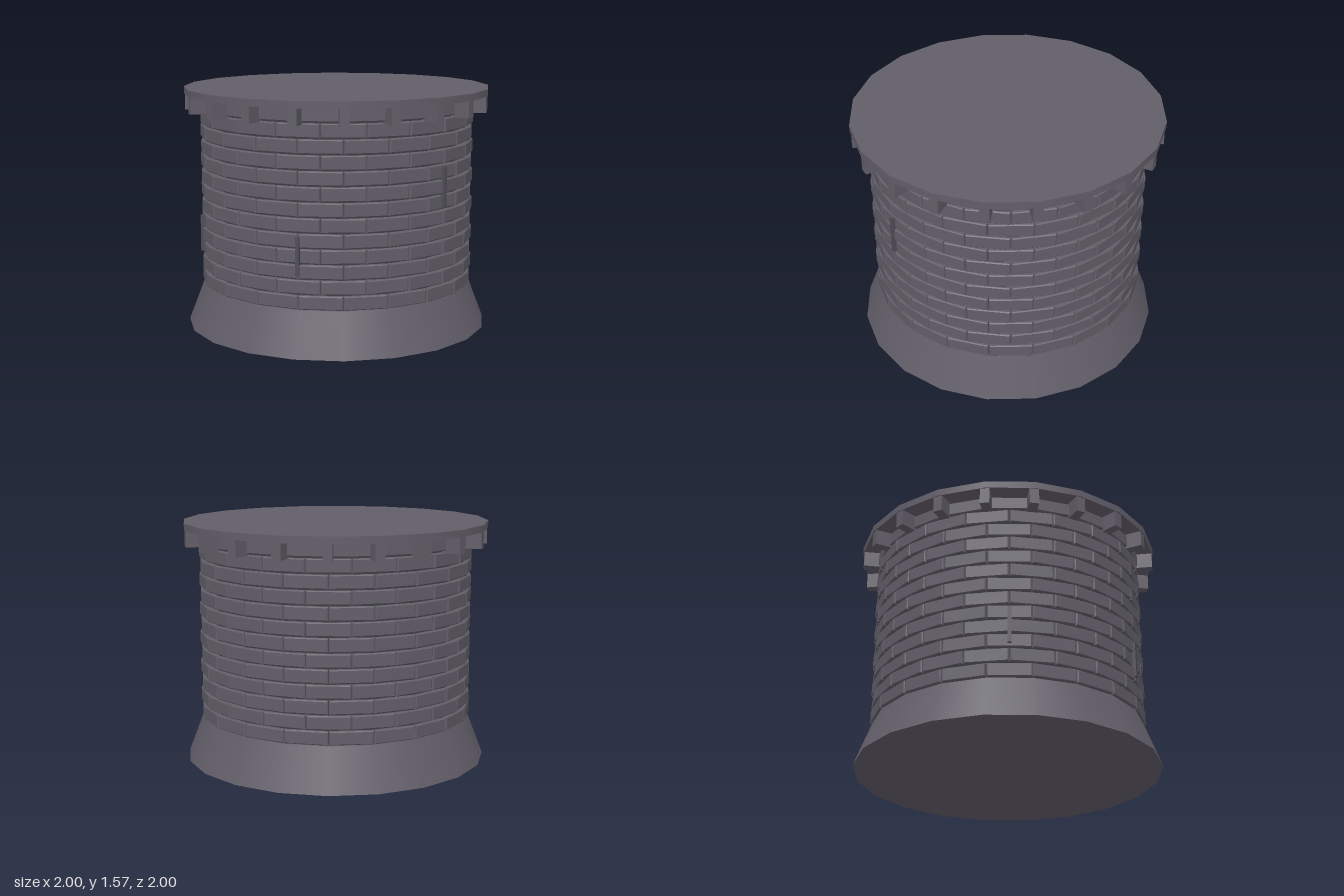
import * as THREE from 'three';

const SIDES = 20;
const STEP = (Math.PI * 2) / SIDES;

export function createModel() {
  const tower = new THREE.Group();
  tower.name = 'roundTower';

  const material = (name, color) => {
    const m = new THREE.MeshStandardMaterial({ color });
    m.name = name;
    return m;
  };
  const stone = material('stone', 0x625e69);
  const mortar = material('mortar', 0x403e46);
  const slitStone = material('slitStone', 0x504d57);

  const add = (name, geometry, mat, parent = tower) => {
    const mesh = new THREE.Mesh(geometry, mat);
    mesh.name = name;
    parent.add(mesh);
    return mesh;
  };
  // Places a mesh on the wall, facing outward; angle is measured from the front
  const placeAround = (mesh, angle, radius, y) => {
    mesh.position.set(Math.sin(angle) * radius, y, Math.cos(angle) * radius);
    mesh.rotation.y = angle;
  };
  const drum = (name, rTop, rBottom, y0, y1, mat) => {
    const geometry = new THREE.CylinderGeometry(rTop, rBottom, y1 - y0, SIDES);
    add(name, geometry, mat).position.y = (y0 + y1) / 2;
  };

  // Flared foot, wall core and flat top slab
  drum('flaredBase', 0.885, 0.992, 0, 0.28, stone);
  drum('wallCore', 0.868, 0.868, 0.27, 1.53, mortar);
  drum('topSlab', 1, 1, 1.525, 1.57, stone);

  // Brick with a chamfered outer face; its local z = 0 is that face
  const w = 0.271, h = 0.086, bevel = 0.006;
  const outline = new THREE.Shape();
  const hx = w / 2 - bevel, hy = h / 2 - bevel;
  outline.moveTo(-hx, -hy);
  outline.lineTo(hx, -hy);
  outline.lineTo(hx, hy);
  outline.lineTo(-hx, hy);
  const brickGeometry = new THREE.ExtrudeGeometry(outline, {
    depth: 0.04, bevelEnabled: true, bevelThickness: bevel, bevelSize: bevel, bevelSegments: 1,
  });
  brickGeometry.translate(0, 0, -0.04 - bevel);

  // Thirteen courses in running bond
  const bricks = new THREE.Group();
  bricks.name = 'brickCourses';
  tower.add(bricks);
  for (let row = 0; row < 13; row++) {
    for (let i = 0; i < SIDES; i++) {
      const brick = add('brick', brickGeometry, stone, bricks);
      placeAround(brick, (i + (row % 2 ? 0 : 0.5)) * STEP, 0.886, 0.329 + row * 0.0957);
    }
  }

  // Corbels carrying the slab
  const corbels = new THREE.Group();
  corbels.name = 'corbels';
  tower.add(corbels);
  const corbelGeometry = new THREE.BoxGeometry(0.06, 0.11, 0.14);
  for (let i = 0; i < SIDES; i++) {
    placeAround(add('corbel', corbelGeometry, stone, corbels), i * STEP, 0.922, 1.475);
  }

  // Narrow arrow slits: angle, centre height, length
  const slits = [[0, 0.62, 0.24], [1.1, 1.0, 0.26], [-1.1, 0.62, 0.24]];
  for (const [angle, y, length] of slits) {
    const slit = add('arrowSlit', new THREE.BoxGeometry(0.024, length, 0.06), slitStone);
    placeAround(slit, angle, 0.879, y);
  }

  return tower;
}
